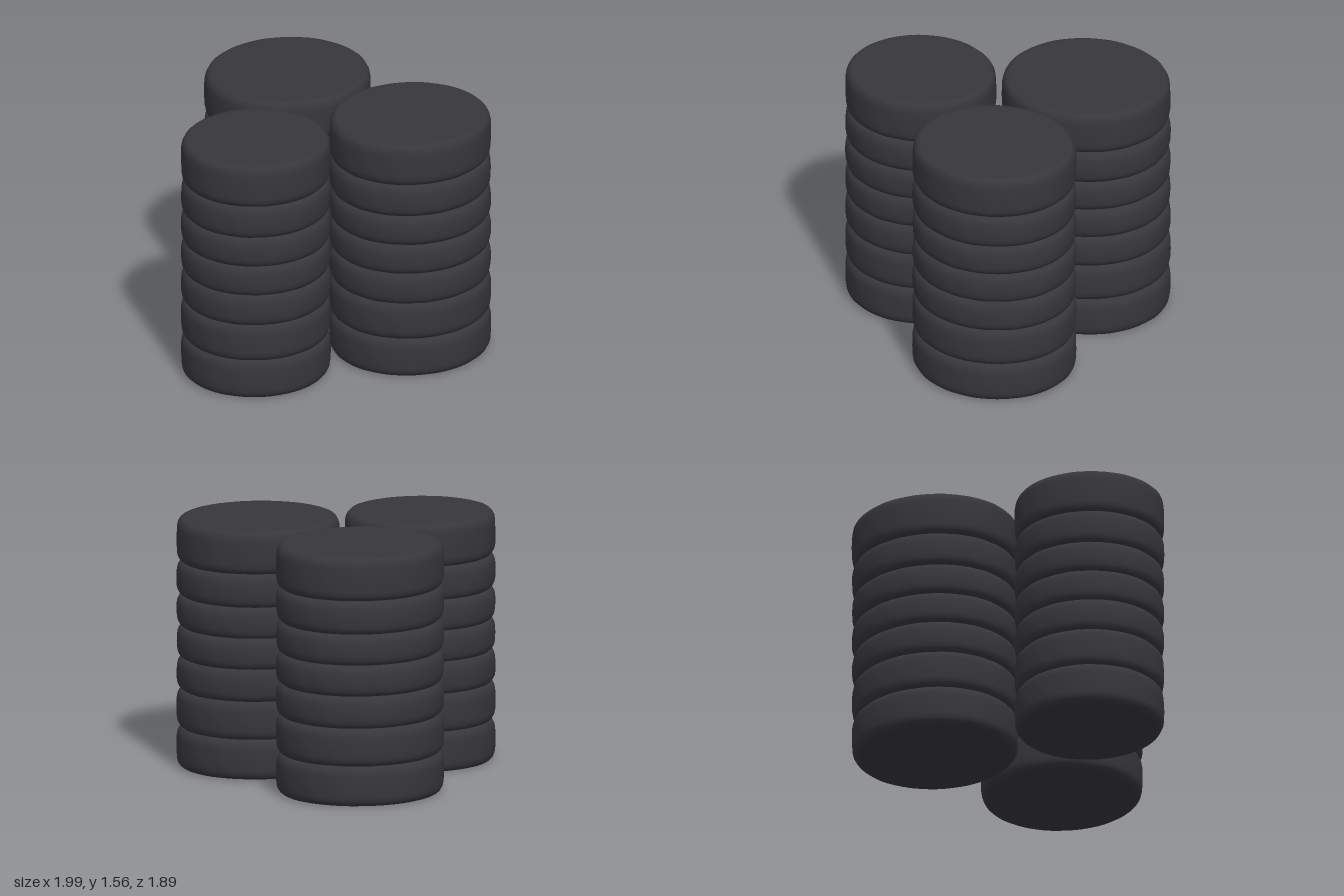
import * as THREE from 'three';
import { mergeVertices } from 'three/addons/utils/BufferGeometryUtils.js';

// Heights of the seams between the stacked tyres
const SEAMS = [0, 0.25, 0.488, 0.69, 0.885, 1.08, 1.29, 1.56];

// Oval stacks: centre and half widths
const STACKS = [
  { name: 'rightRearStack', x: -0.495, z: -0.42, rx: 0.505, rz: 0.53 },
  { name: 'leftRearStack', x: 0.5, z: -0.41, rx: 0.49, rz: 0.515 },
  { name: 'frontStack', x: 0.002, z: 0.472, rx: 0.457, rz: 0.472 },
];

// One closed tyre of unit radius with rounded shoulders and a slightly worn wall
function tyreGeometry(height, seed) {
  const h = height;
  const half = [[0, 0], [0.6, 0], [0.9, 0], [0.935, 0.003], [0.965, 0.016], [0.985, 0.035], [0.994, 0.06]];
  const profile = [
    ...half.map(([r, y]) => new THREE.Vector2(r, y)),
    new THREE.Vector2(0.998, h * 0.5),
    ...half.slice().reverse().map(([r, y]) => new THREE.Vector2(r, h - y)),
  ];
  let geo = new THREE.LatheGeometry(profile, 72);
  const p = geo.attributes.position;
  for (let i = 0; i < p.count; i++) {
    const x = p.getX(i), y = p.getY(i), z = p.getZ(i);
    const r = Math.hypot(x, z);
    if (r < 0.92) continue;
    // Shallow creases around the wall
    const a = Math.atan2(z, x);
    const wave = Math.sin(a * 9 + seed * 2.1 + y * 14) + Math.sin(a * 17 - seed * 1.3 - y * 20);
    const k = 1 - 0.0018 * (2 + wave);
    p.setXYZ(i, x * k, y, z * k);
  }
  geo.deleteAttribute('normal');
  geo.deleteAttribute('uv');
  geo = mergeVertices(geo, 1e-4);
  geo.computeVertexNormals();
  return geo;
}

export function createModel() {
  const model = new THREE.Group();
  model.name = 'tyreStacks';
  const rubber = new THREE.MeshStandardMaterial({ color: 0x37363b });
  rubber.name = 'dark rubber';

  STACKS.forEach((s, n) => {
    const stack = new THREE.Group();
    stack.name = s.name;
    stack.position.set(s.x, 0, s.z);
    for (let i = 0; i < SEAMS.length - 1; i++) {
      const geo = tyreGeometry(SEAMS[i + 1] - SEAMS[i], n * 7 + i);
      geo.scale(s.rx, 1, s.rz);
      const tyre = new THREE.Mesh(geo, rubber);
      tyre.name = 'tyre' + (i + 1);
      tyre.position.y = SEAMS[i];
      stack.add(tyre);
    }
    model.add(stack);
  });
  return model;
}
